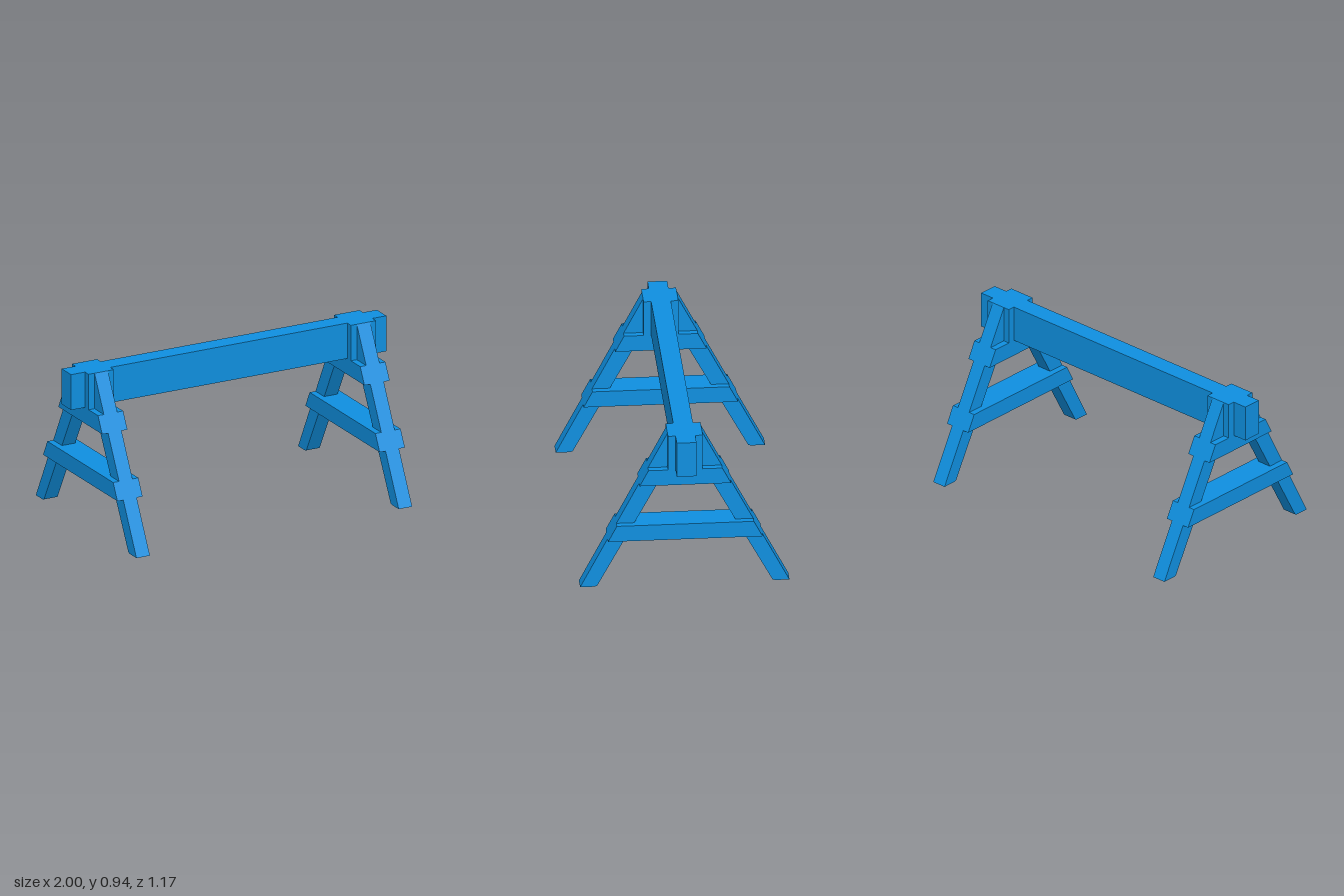
import * as THREE from 'three';

const material = new THREE.MeshStandardMaterial({ color: 0x0f8fdf, flatShading: true });

// Profile of [z, y] points, extruded along x and centred on x = 0
function plank(name, points, thickness) {
  const shape = new THREE.Shape(points.map(([z, y]) => new THREE.Vector2(z, y)));
  const geometry = new THREE.ExtrudeGeometry(shape, { depth: thickness, bevelEnabled: false });
  geometry.translate(0, 0, -thickness / 2);
  geometry.rotateY(-Math.PI / 2);
  const mesh = new THREE.Mesh(geometry, material);
  mesh.name = name;
  return mesh;
}

function box(name, w, h, d, y, z = 0) {
  const mesh = new THREE.Mesh(new THREE.BoxGeometry(w, h, d), material);
  mesh.name = name;
  mesh.position.set(0, y, z);
  return mesh;
}

// Half-width of the sloping outer edge at height y
const outer = (y) => 0.585 - y * 0.519;

// Crosspiece with ends cut to the slope of the legs
function crosspiece(name, y0, y1) {
  return plank(name, [
    [-outer(y0), y0], [outer(y0), y0], [outer(y1), y1], [-outer(y1), y1],
  ], 0.16);
}

function createTrestle() {
  const trestle = new THREE.Group();
  trestle.name = 'trestle';

  // Splayed legs with cut feet, and cheek blocks clamping the beam
  for (const side of [1, -1]) {
    const half = new THREE.Group();
    half.name = side > 0 ? 'frontSide' : 'backSide';
    half.add(plank('leg', [
      [0.585, 0], [outer(0.94), 0.94], [0.08, 0.77], [0.15, 0.635], [0.49, 0.005], [0.505, 0],
    ], 0.085));
    half.add(box('cheekBlock', 0.16, 0.21, 0.042, 0.835, 0.076));
    if (side < 0) half.rotation.y = Math.PI;
    trestle.add(half);
  }

  // Beam support and lower stretcher
  trestle.add(crosspiece('beamSupport', 0.635, 0.73));
  trestle.add(crosspiece('stretcher', 0.295, 0.39));
  return trestle;
}

export function createModel() {
  const model = new THREE.Group();
  model.name = 'sawhorse';

  // Top beam
  model.add(box('beam', 2, 0.21, 0.11, 0.835));

  // Trestle near each end
  for (const x of [-0.832, 0.832]) {
    const trestle = createTrestle();
    trestle.position.x = x;
    model.add(trestle);
  }
  return model;
}
